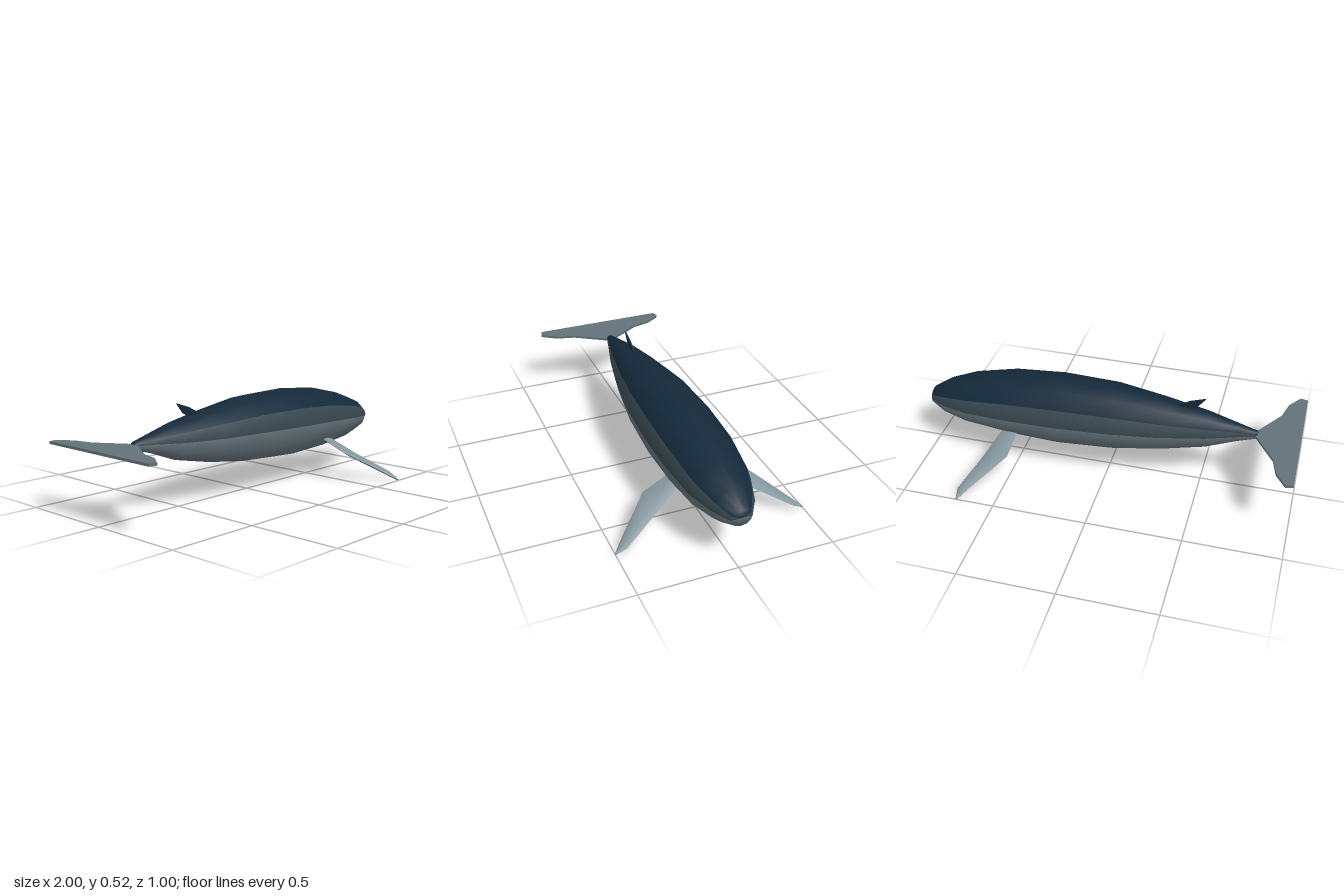
import * as THREE from 'three';
import { toCreasedNormals } from 'three/addons/utils/BufferGeometryUtils.js';

const paint = (color) => new THREE.MeshStandardMaterial({ color });

// Joins rings of [x, y, z] points into a closed skin, capped at both ends.
// Faces are sorted into one material group per value of bandOf(side).
function loft(rings, bands = 1, bandOf = () => 0) {
  const n = rings[0].length;
  const last = rings.length - 1;
  const points = rings.flat();
  const centre = (ring) => [0, 1, 2].map((c) => ring.reduce((s, p) => s + p[c], 0) / n);
  const startCap = points.push(centre(rings[0])) - 1;
  const endCap = points.push(centre(rings[last])) - 1;
  const geometry = new THREE.BufferGeometry();
  const index = [];
  for (let band = 0; band < bands; band++) {
    const start = index.length;
    for (let k = 0; k < n; k++) {
      if (bandOf(k) !== band) continue;
      const k1 = (k + 1) % n;
      for (let i = 0; i < last; i++) {
        const a = i * n + k, b = i * n + k1;
        index.push(a, b, a + n, b, b + n, a + n);
      }
      index.push(startCap, k1, k, endCap, last * n + k, last * n + k1);
    }
    geometry.addGroup(start, index.length - start, band);
  }
  geometry.setAttribute('position', new THREE.Float32BufferAttribute(points.flat(), 3));
  geometry.setIndex(index);
  geometry.computeVertexNormals();
  return geometry;
}

// Flat plate with its outline in the xy plane, centred on its thickness
function plate(outline, thickness) {
  const shape = new THREE.Shape(outline.map(([x, y]) => new THREE.Vector2(x, y)));
  const geometry = new THREE.ExtrudeGeometry(shape, { depth: thickness, bevelEnabled: false });
  return geometry.translate(0, 0, -thickness / 2);
}

export function createModel() {
  const model = new THREE.Group();
  model.name = 'whale';
  const dark = paint(0x14293a);
  const flank = paint(0x37474f);
  const grey = paint(0x627178);
  const pale = paint(0x84979e);

  const add = (name, geometry, material) => {
    const mesh = new THREE.Mesh(geometry, material);
    mesh.name = name;
    model.add(mesh);
  };

  // Body stations from tail to nose: x, top, bottom, half width
  const stations = [
    [-0.78, 0.375, 0.335, 0.02],
    [-0.68, 0.4, 0.305, 0.045],
    [-0.52, 0.44, 0.245, 0.088],
    [-0.28, 0.48, 0.195, 0.138],
    [-0.03, 0.515, 0.16, 0.175],
    [0.27, 0.521, 0.142, 0.19],
    [0.54, 0.497, 0.155, 0.186],
    [0.77, 0.445, 0.18, 0.16],
    [0.91, 0.392, 0.21, 0.112],
    [1, 0.335, 0.25, 0.055],
  ];
  const sides = 12;
  const bodyRings = stations.map(([x, top, bottom, halfWidth]) =>
    Array.from({ length: sides }, (_, k) => {
      const a = (k / sides) * Math.PI * 2;
      return [x, (top + bottom) / 2 + ((top - bottom) / 2) * Math.cos(a), halfWidth * Math.sin(a)];
    }));
  // Dark back, shaded flanks, grey belly
  const bodyBand = (k) => {
    const fromTop = Math.min(k, sides - 1 - k);
    return fromTop < 2 ? 0 : fromTop === 2 ? 1 : 2;
  };
  add('body', loft(bodyRings, 3, bodyBand), [dark, flank, grey]);

  // Flipper stations: z, trailing x and y, leading x and y, half thickness
  const flipperStations = [
    [0.13, 0.475, 0.235, 0.575, 0.205, 0.013],
    [0.28, 0.49, 0.165, 0.637, 0.122, 0.013],
    [0.445, 0.645, 0.052, 0.715, 0.035, 0.011],
    [0.5, 0.697, 0.01, 0.707, 0.01, 0.005],
  ];
  for (const side of [1, -1]) {
    const rings = flipperStations.map(([z, tx, ty, lx, ly, t]) => {
      const at = (f, dy) => [lx + (tx - lx) * f, ly + (ty - ly) * f + dy, z * side];
      const ring = [at(0, 0), at(0.25, t), at(0.7, t), at(1, 0), at(0.7, -t), at(0.25, -t)];
      return side > 0 ? ring : ring.reverse();
    });
    add(side > 0 ? 'leftFlipper' : 'rightFlipper', toCreasedNormals(loft(rings), 0.7), pale);
  }

  // Tail fluke: half outline mirrored across the body axis, laid flat
  const half = [[-0.77, 0.02], [-0.88, 0.19], [-0.905, 0.29], [-0.96, 0.37], [-1, 0.36]];
  const outline = [...half, ...half.map(([x, z]) => [x, -z]).reverse()];
  add('tailFluke', plate(outline, 0.013).rotateX(Math.PI / 2).translate(0, 0.354, 0), grey);

  // Small swept dorsal fin
  const fin = [[-0.35, 0.462], [-0.37, 0.472], [-0.425, 0.5], [-0.502, 0.526], [-0.46, 0.472], [-0.42, 0.452]];
  add('dorsalFin', plate(fin, 0.008), dark);

  return model;
}
